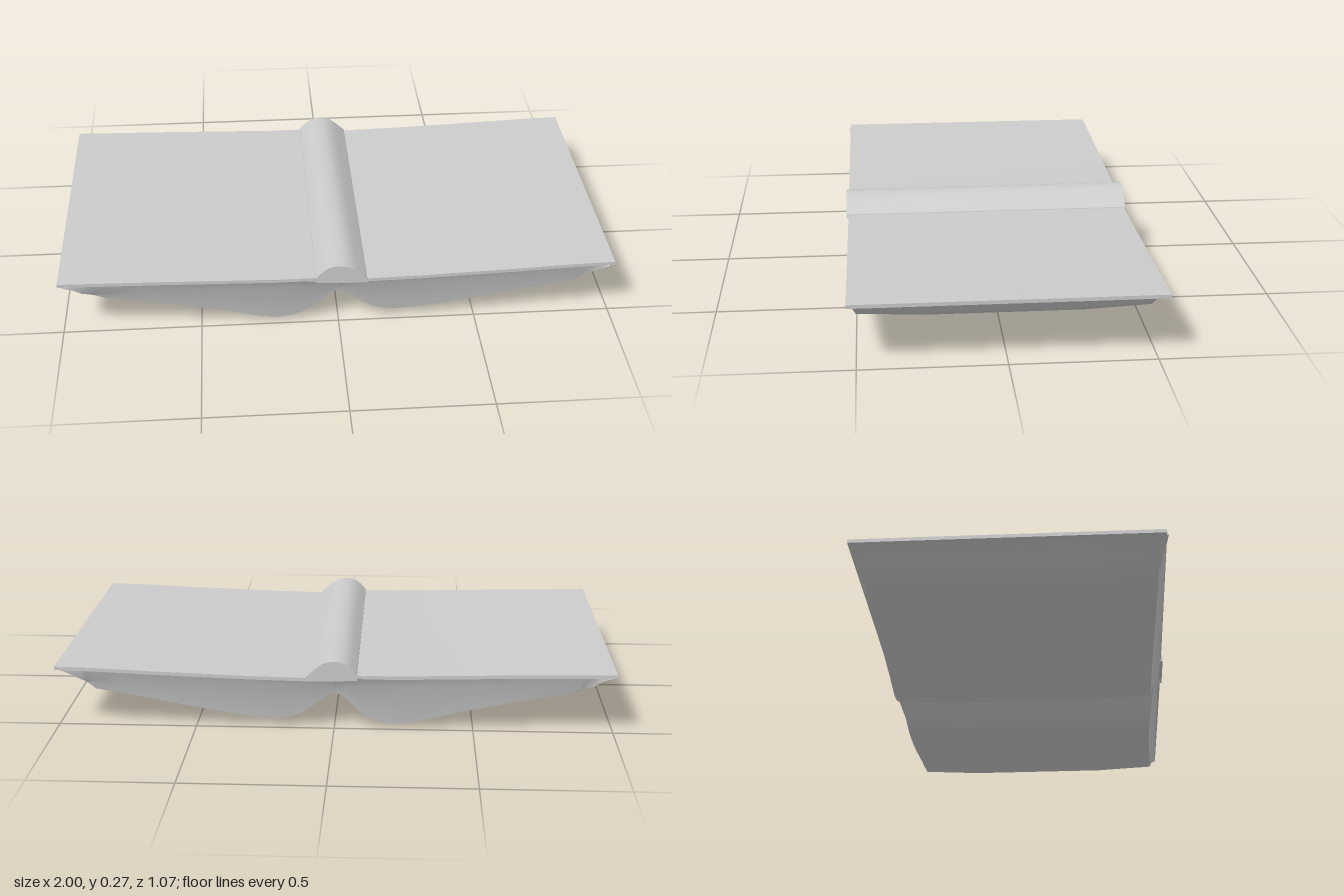
import * as THREE from 'three';
import { toCreasedNormals } from 'three/addons/utils/BufferGeometryUtils.js';

const material = new THREE.MeshStandardMaterial({ color: 0xcccccc, side: THREE.DoubleSide });

function addMesh(group, name, geometry, crease) {
  const mesh = new THREE.Mesh(toCreasedNormals(geometry, crease), material);
  mesh.name = name;
  group.add(mesh);
}

// Extrudes an x-y outline along z, between the two ends.
function extrudeOutline(points, zBack, zFront) {
  const shape = new THREE.Shape(points.map(([x, y]) => new THREE.Vector2(x, y)));
  const geometry = new THREE.ExtrudeGeometry(shape, { depth: zFront - zBack, bevelEnabled: false });
  return geometry.translate(0, 0, zBack);
}

// A thin board whose upper side follows the given points.
function board(top, thickness) {
  const under = top.map(([x, y]) => [x, y - thickness]).reverse();
  return extrudeOutline([...top, ...under], -0.533, 0.527);
}

// Lofts a page block: one ring in z-y for each [x, underside height].
function pageBlock(profile) {
  const positions = [], indices = [], ringSize = 8;
  for (const [x, y] of profile) {
    const top = 0.2 + 0.022 * Math.abs(x);
    const low = Math.min(y, top);
    const mid = Math.min(top, Math.max(0.17, low));
    const zMid = 0.507 + (mid - 0.17) * 0.5;
    const zLow = Math.min(zMid, 0.48 + Math.max(0, low - 0.02) * 0.17);
    const half = [[0.525, top], [zMid, mid], [zLow, Math.min(mid, low + 0.012)], [0.27, low]];
    const ring = [...half, ...half.map(([z, h]) => [-z, h]).reverse()];
    for (const [z, h] of ring) positions.push(x, h, z);
  }
  for (let i = 0; i < profile.length - 1; i++) {
    for (let j = 0; j < ringSize; j++) {
      const a = i * ringSize + j, b = i * ringSize + (j + 1) % ringSize;
      const c = a + ringSize, d = b + ringSize;
      indices.push(a, b, c, b, d, c);
    }
  }
  const geometry = new THREE.BufferGeometry();
  geometry.setAttribute('position', new THREE.Float32BufferAttribute(positions, 3));
  geometry.setIndex(indices);
  return geometry;
}

export function createModel() {
  const group = new THREE.Group();
  group.name = 'openBook';

  // Covers, sagging slightly towards the spine
  addMesh(group, 'rightCover', board([[-1, 0.235], [-0.6, 0.227], [-0.22, 0.217], [-0.07, 0.218]], 0.013), 0.4);
  addMesh(group, 'leftCover', board([[0.09, 0.206], [0.3, 0.21], [0.65, 0.222], [0.86, 0.231], [1, 0.234]], 0.013), 0.4);

  // Rounded spine
  addMesh(group, 'spine', extrudeOutline([
    [-0.085, 0.2], [-0.083, 0.222], [-0.06, 0.246], [-0.04, 0.262], [-0.015, 0.269], [0.015, 0.269],
    [0.04, 0.261], [0.065, 0.242], [0.1, 0.21], [0.105, 0.195], [0.02, 0.195],
  ], -0.537, 0.534), 0.5);

  // Pages hanging below each cover, meeting in the fold
  addMesh(group, 'rightPages', pageBlock([
    [-0.985, 0.222], [-0.95, 0.208], [-0.92, 0.182], [-0.88, 0.155], [-0.83, 0.135], [-0.72, 0.115],
    [-0.6, 0.09], [-0.45, 0.055], [-0.35, 0.028], [-0.28, 0.01], [-0.22, 0.002], [-0.17, 0.01],
    [-0.13, 0.024], [-0.09, 0.05], [-0.06, 0.085], [-0.03, 0.115], [0, 0.13],
  ]), 0.6);
  addMesh(group, 'leftPages', pageBlock([
    [0, 0.13], [0.04, 0.105], [0.08, 0.07], [0.12, 0.04], [0.16, 0.025], [0.21, 0.02], [0.28, 0.022],
    [0.4, 0.04], [0.53, 0.065], [0.66, 0.092], [0.78, 0.115], [0.86, 0.128], [0.89, 0.155],
    [0.91, 0.18], [0.95, 0.205], [0.98, 0.221],
  ]), 0.6);

  return group;
}
